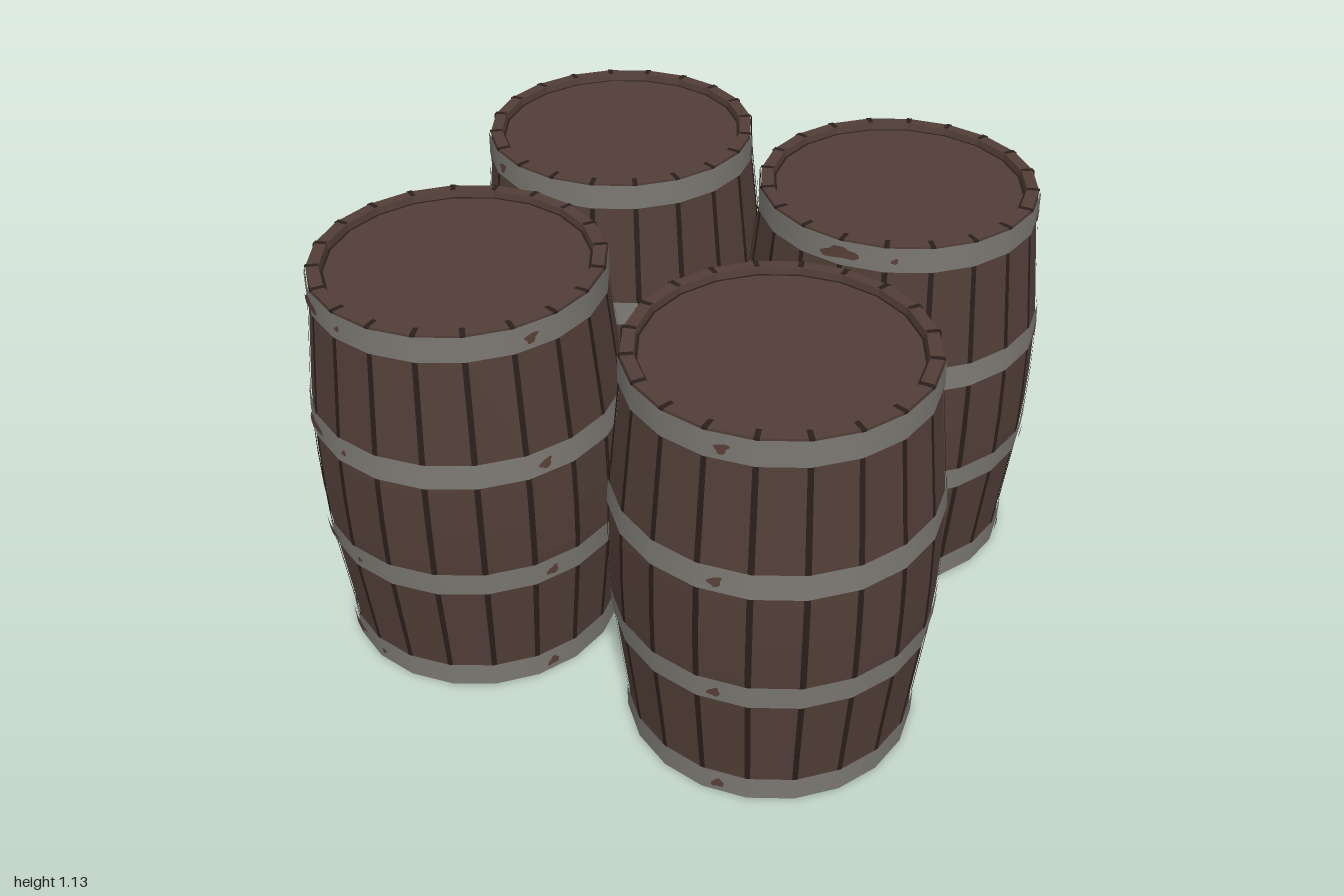
import * as THREE from 'three';

const STAVES = 20;
const STEP = (Math.PI * 2) / STAVES;
const START = THREE.MathUtils.degToRad(4.4);
const HEIGHT = 1.13;
const BAND_Y = [0.037, 0.39, 0.74, 1.093];

const material = (name, color, side = THREE.FrontSide) => {
  const m = new THREE.MeshStandardMaterial({ color, side });
  m.name = name;
  return m;
};

// Outer wood radius at each height, symmetric about the belly
const WALL = [[0.377, 0], [0.378, 0.07], [0.409, 0.36], [0.415, 0.45], [0.417, 0.565],
  [0.415, 0.68], [0.409, 0.77], [0.378, 1.06], [0.377, HEIGHT]];

function wallRadius(y) {
  for (let i = 1; i < WALL.length; i++) {
    const [r0, y0] = WALL[i - 1], [r1, y1] = WALL[i];
    if (y <= y1) return r0 + ((r1 - r0) * (y - y0)) / (y1 - y0);
  }
  return WALL[WALL.length - 1][0];
}

const lathe = (pts, segments = STAVES, start = START, length = Math.PI * 2) =>
  new THREE.LatheGeometry(pts.map(([r, y]) => new THREE.Vector2(r, y)), segments, start, length);

function flat(geometry) {
  const g = geometry.toNonIndexed();
  g.computeVertexNormals();
  return g;
}

// Ragged worn spot wrapped on to a hoop
function patchGeometry(angle, y, w, h, seed) {
  const g = new THREE.CircleGeometry(1, 14);
  const p = g.attributes.position;
  for (let i = 0; i < p.count; i++) {
    const a = Math.atan2(p.getY(i), p.getX(i));
    const k = 1 + 0.22 * Math.sin(3 * a + seed) + 0.12 * Math.sin(5 * a + seed * 2);
    const py = y + p.getY(i) * h * k + p.getX(i) * h * 0.3;
    const r = wallRadius(py) + 0.009;
    const t = angle + (p.getX(i) * w * k) / r;
    p.setXYZ(i, r * Math.sin(t), py, r * Math.cos(t));
  }
  g.computeVertexNormals();
  return g;
}

export function createModel() {
  const wood = material('brown wood', 0x523e37);
  const iron = material('grey iron', 0x7b7872);
  const dark = material('dark seam', 0x2a1f1b, THREE.DoubleSide);
  const rust = material('rust', 0x5a4038, THREE.DoubleSide);

  // Staves with recessed heads
  const bodyGeo = flat(lathe([[0, 0.025], [0.342, 0.025], [0.345, 0], ...WALL,
    [0.345, HEIGHT], [0.342, HEIGHT - 0.02], [0, HEIGHT - 0.02]]));

  // One dark joint running up the wall and over the rim
  const seamGeo = lathe([...WALL.map(([r, y]) => [r + 0.003, y]),
    [0.377, HEIGHT + 0.002], [0.345, HEIGHT + 0.002]], 1, START - 0.019, 0.038);
  const grooveGeo = lathe([[0.344, HEIGHT - 0.018], [0.336, HEIGHT - 0.018]]);

  // Iron hoops following the wall
  const hoopGeos = BAND_Y.map((y) => {
    const a = y - 0.035, b = y + 0.035;
    const ra = wallRadius(a), rb = wallRadius(b);
    return lathe([[ra, a], [ra + 0.006, a], [rb + 0.006, b], [rb, b]].slice(1, 3));
  });

  // Worn spots: angle in degrees from the bung, half width, half height
  const spots = [[112, 0.054, 0.017], [134, 0.009, 0.008], [209, 0.017, 0.014],
    [44, 0.014, 0.01], [-18, 0.016, 0.013], [11, 0.012, 0.016]];

  function barrel(name) {
    const g = new THREE.Group();
    g.name = name;
    const add = (geometry, mat, part) => {
      const m = new THREE.Mesh(geometry, mat);
      m.name = part;
      g.add(m);
      return m;
    };
    add(bodyGeo, wood, 'staves');
    add(grooveGeo, dark, 'lidGroove');
    for (let i = 0; i < STAVES; i++) add(seamGeo, dark, 'seam').rotation.y = i * STEP;
    hoopGeos.forEach((h) => add(h, iron, 'hoop'));
    spots.forEach(([deg, w, h], s) => BAND_Y.forEach((y, b) =>
      add(patchGeometry(THREE.MathUtils.degToRad(deg), y, w, h, s * 1.7 + b), rust, 'rustSpot')));
    const bung = add(new THREE.CylinderGeometry(0.032, 0.035, 0.04, 12), dark, 'bung');
    bung.rotation.x = Math.PI / 2;
    bung.position.set(0, 0.585, 0.412);
    return g;
  }

  // Position and facing of each barrel
  const group = new THREE.Group();
  group.name = 'barrels';
  [['backBarrel', 0.17, -0.58, 270], ['rightBarrel', -0.578, -0.2, 144],
    ['frontBarrel', -0.24, 0.575, 235], ['leftBarrel', 0.577, 0.21, 180]].forEach(([name, x, z, deg]) => {
    const b = barrel(name);
    b.position.set(x, 0, z);
    b.rotation.y = THREE.MathUtils.degToRad(deg);
    group.add(b);
  });
  return group;
}
